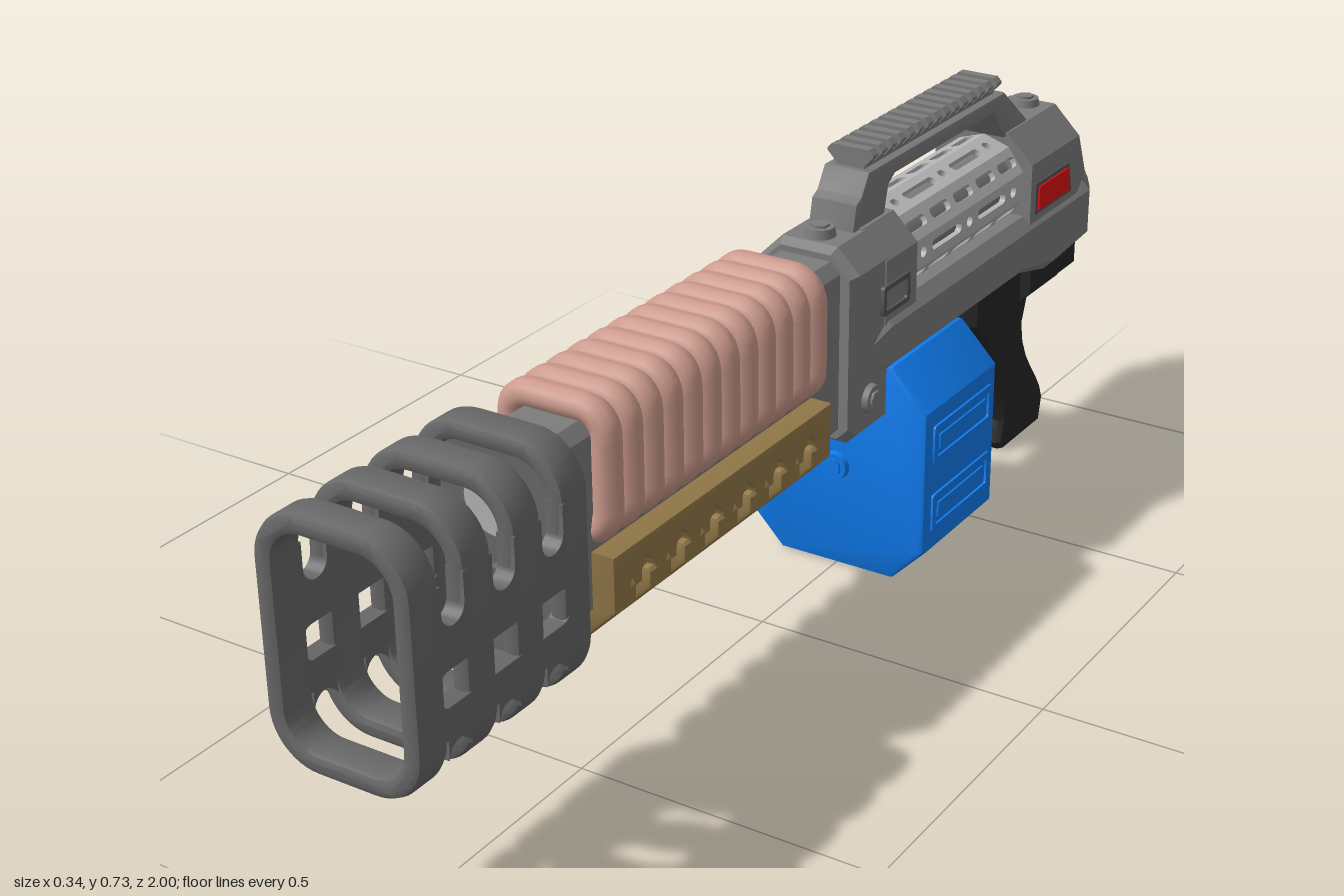
import * as THREE from 'three';
import { toCreasedNormals } from 'three/addons/utils/BufferGeometryUtils.js';

const mat = (color) => new THREE.MeshStandardMaterial({ color });
const M = {
  muzzle: mat(0x686868), body: mat(0x7c7c7c), light: mat(0xb4b4b4), dark: mat(0x555555),
  black: mat(0x262626), blue: mat(0x0f7cf0), coil: mat(0xcc9a8c), tan: mat(0x957b4a), red: mat(0xe01010),
};

const poly = (pts) => new THREE.Shape(pts.map(([a, b]) => new THREE.Vector2(a, b)));

// Rounded rectangle centred on (cx, cy)
function rounded(cx, cy, w, h, r) {
  const s = new THREE.Shape(), q = Math.PI / 2;
  const x = w / 2 - r, y = h / 2 - r;
  [[x, y], [-x, y], [-x, -y], [x, -y]].forEach(([a, b], i) =>
    s.absarc(cx + a, cy + b, r, i * q, (i + 1) * q, false));
  s.closePath();
  return s;
}

const chamfered = (hw, y0, y1, cb, ct) => poly([
  [-hw + cb, y0], [hw - cb, y0], [hw, y0 + cb], [hw, y1 - ct],
  [hw - ct, y1], [-hw + ct, y1], [-hw, y1 - ct], [-hw, y0 + cb]]);

// Extrude an (x, y) shape from z0 to z1
function alongZ(shape, z0, z1, bevel = 0) {
  const g = new THREE.ExtrudeGeometry(shape, {
    depth: z1 - z0 - 2 * bevel, curveSegments: 6, bevelEnabled: bevel > 0,
    bevelSize: bevel, bevelThickness: bevel, bevelOffset: -bevel, bevelSegments: 2 });
  g.translate(0, 0, z0 + bevel);
  return toCreasedNormals(g, 0.5);
}

// Extrude a (z, y) side shape from x0 to x1
function alongX(shape, x0, x1, bevel = 0) {
  return alongZ(shape, -x1, -x0, bevel).rotateY(-Math.PI / 2);
}

// Loft chamfered sections [z, halfWidth, y0, y1, bottomChamfer, topChamfer], front to back
function loft(sections) {
  const pos = [], idx = [], n = 8, last = (sections.length - 1) * n;
  sections.forEach(([z, ...s]) => chamfered(...s).getPoints().slice(0, n).forEach((p) => pos.push(p.x, p.y, z)));
  for (let s = 0; s < sections.length - 1; s++) for (let i = 0; i < n; i++) {
    const a = s * n + i, b = s * n + (i + 1) % n;
    idx.push(a, a + n, b, b, a + n, b + n);
  }
  for (let i = 1; i < n - 1; i++) idx.push(0, i, i + 1, last, last + i + 1, last + i);
  const g = new THREE.BufferGeometry();
  g.setAttribute('position', new THREE.Float32BufferAttribute(pos, 3));
  g.setIndex(idx);
  const flat = g.toNonIndexed();
  flat.computeVertexNormals();
  return flat;
}

export function createModel() {
  const root = new THREE.Group();
  const add = (name, geo, material, parent = root) => {
    const m = new THREE.Mesh(geo, material);
    m.name = name;
    parent.add(m);
    return m;
  };
  const group = (name) => { const g = new THREE.Group(); g.name = name; root.add(g); return g; };

  // Hex bolt whose head faces along dir
  const bolt = (name, p, dir, material, r = 0.026) => {
    const g = group(name);
    add('boltCollar', new THREE.CylinderGeometry(r * 0.88, r, 0.016, 20), material, g);
    add('boltHead', new THREE.CylinderGeometry(r * 0.58, r * 0.62, 0.024, 6), material, g);
    g.position.set(...p);
    g.quaternion.setFromUnitVectors(new THREE.Vector3(0, 1, 0), new THREE.Vector3(...dir));
  };

  // Slotted muzzle cage: four hoops joined by notched side plates
  const muzzle = group('muzzleCage');
  for (let i = 0; i < 4; i++) {
    const hoop = rounded(0, 0.4385, 0.25, 0.375, 0.078);
    hoop.holes.push(rounded(0, 0.4385, 0.19, 0.315, 0.05));
    const z = 0.63 + i * 0.1037;
    add('muzzleHoop', alongZ(hoop, z, z + 0.059, 0.01), M.muzzle, muzzle);
  }
  const side = new THREE.Shape();
  side.moveTo(0.64, 0.33);
  for (let i = 0; i < 3; i++) {
    const c = 0.711 + i * 0.1037;
    side.lineTo(c - 0.023, 0.33);
    side.absarc(c, 0.3, 0.0235, Math.PI * 0.98, 0.02, true);
    side.lineTo(c + 0.023, 0.33);
  }
  side.lineTo(0.99, 0.33).lineTo(0.99, 0.55);
  for (let i = 2; i >= 0; i--) {
    const c = 0.711 + i * 0.1037;
    side.lineTo(c + 0.023, 0.55).lineTo(c + 0.023, 0.51);
    side.absarc(c, 0.51, 0.023, 0, -Math.PI, true);
    side.lineTo(c - 0.023, 0.55);
  }
  side.lineTo(0.64, 0.55);
  side.holes.push(rounded(0.815, 0.402, 0.27, 0.052, 0.015));
  for (const s of [-1, 1]) add('muzzleSidePlate', alongX(side, s * 0.11 - 0.014, s * 0.11 + 0.014), M.muzzle, muzzle);
  add('muzzleBackWall', alongZ(rounded(0, 0.4385, 0.2, 0.325, 0.055), 0.635, 0.665), M.muzzle, muzzle);
  add('barrelFace', new THREE.CylinderGeometry(0.052, 0.052, 0.01, 32).rotateX(Math.PI / 2).translate(0, 0.512, 0.665), M.light, muzzle);
  bolt('muzzleBolt', [0, 0.393, 0.668], [0, 0, 1], M.muzzle);

  // Barrel core and its coil windings
  add('barrelCore', alongZ(chamfered(0.063, 0.29, 0.59, 0.018, 0.018), -0.15, 0.64), M.body);
  const coils = group('coils');
  const ring = new THREE.CurvePath();
  const ringPts = rounded(0, 0.5125, 0.156, 0.181, 0.035).getPoints(6).slice(0, -1)
    .map((p) => new THREE.Vector3(p.x, p.y, 0));
  ringPts.forEach((p, i) => ring.add(new THREE.LineCurve3(p, ringPts[(i + 1) % ringPts.length])));
  const coilGeo = new THREE.TubeGeometry(new THREE.CatmullRomCurve3(ring.getSpacedPoints(48).slice(0, -1), true), 72, 0.0225, 10, true);
  for (let i = 0; i < 12; i++) add('coil', coilGeo, M.coil, coils).position.z = -0.018 + i * 0.0491;

  // Fore grip: inner trough, arched side panel and ribs
  const fore = group('foreGrip');
  add('foreGripCore', alongZ(chamfered(0.085, 0.268, 0.392, 0.05, 0.005), -0.035, 0.54), M.tan, fore);
  const arch = new THREE.Shape();
  arch.moveTo(-0.04, 0.31);
  for (let i = 0; i < 6; i++) {
    const c = 0.0325 + i * 0.088;
    arch.lineTo(c - 0.03, 0.31).lineTo(c - 0.03, 0.335);
    arch.absarc(c, 0.335, 0.03, Math.PI, 0, true);
    arch.lineTo(c + 0.03, 0.31);
  }
  arch.lineTo(0.545, 0.31).lineTo(0.545, 0.397).lineTo(-0.04, 0.397);
  add('foreGripPanel', alongX(arch, -0.1, 0.1, 0.004), M.tan, fore);
  for (let i = 0; i < 7; i++) {
    const z = -0.0115 + i * 0.088;
    add('foreGripRib', alongZ(chamfered(0.1, 0.253, 0.34, 0.055, 0.005), z - 0.0285, z + 0.0285, 0.008), M.tan, fore);
  }

  // Receiver body
  const receiver = group('receiver');
  add('receiverLower', loft([
    [-0.15, 0.082, 0.385, 0.44, 0.01, 0.02], [-0.23, 0.1, 0.38, 0.475, 0.01, 0.02],
    [-0.7, 0.1, 0.38, 0.475, 0.01, 0.02], [-0.82, 0.1, 0.345, 0.475, 0.02, 0.02],
    [-0.955, 0.1, 0.345, 0.475, 0.03, 0.02], [-0.975, 0.085, 0.35, 0.465, 0.03, 0.02]]), M.body, receiver);
  add('receiverFront', loft([
    [-0.125, 0.08, 0.29, 0.6, 0.02, 0.035], [-0.14, 0.09, 0.28, 0.61, 0.02, 0.04],
    [-0.23, 0.09, 0.28, 0.61, 0.02, 0.04]]), M.body, receiver);
  add('receiverUpper', loft([
    [-0.22, 0.092, 0.43, 0.612, 0.01, 0.045], [-0.32, 0.092, 0.43, 0.612, 0.01, 0.045]]), M.body, receiver);
  add('receiverRear', loft([
    [-0.725, 0.094, 0.42, 0.62, 0.01, 0.05], [-0.91, 0.094, 0.42, 0.62, 0.01, 0.05],
    [-0.972, 0.08, 0.42, 0.515, 0.01, 0.03]]), M.body, receiver);
  add('buttDisc', new THREE.CylinderGeometry(0.08, 0.084, 0.035, 32).rotateX(-Math.PI / 2).translate(0, 0.43, -0.9825), M.body, receiver);

  // Vented inner shroud made of slotted facets
  const shroud = group('ventedShroud');
  const N = 10, R = 0.077;
  const w = 2 * R * Math.tan(Math.PI / N);
  for (let i = 0; i < N; i++) {
    const plate = poly([[-0.73, -w / 2], [-0.315, -w / 2], [-0.315, w / 2], [-0.73, w / 2]]);
    for (let k = 0; k < 5; k++) {
      const c = -0.37 - k * 0.08;
      if (i % 2) plate.holes.push(rounded(c, 0, 0.062, 0.018, 0.008));
      else if (k % 2) plate.holes.push(rounded(c, 0, 0.1, 0.018, 0.008));
      else plate.holes.push(rounded(c, 0, 0.02, 0.02, 0.0099));
    }
    const p = add('shroudFacet', alongX(plate, R - 0.01, R), M.light, shroud);
    p.rotation.z = (i / N) * Math.PI * 2;
  }
  add('shroudCore', new THREE.CylinderGeometry(0.055, 0.055, 0.42, 20).rotateX(Math.PI / 2).translate(0, 0, -0.52), M.body, shroud);
  shroud.position.y = 0.53;

  // Carry handle and toothed top rail
  add('carryHandle', alongX(poly([
    [-0.2, 0.6], [-0.212, 0.652], [-0.228, 0.66], [-0.25, 0.695], [-0.715, 0.695], [-0.825, 0.605],
    [-0.73, 0.605], [-0.675, 0.668], [-0.335, 0.668], [-0.315, 0.655], [-0.3, 0.6]]), -0.041, 0.041, 0.004), M.body);
  const rail = group('topRail');
  add('railBase', new THREE.BoxGeometry(0.052, 0.018, 0.44).translate(0, 0.7, -0.48), M.body, rail);
  const tooth = poly([[-0.027, 0.7], [0.027, 0.7], [0.041, 0.715], [0.041, 0.719], [0.033, 0.727], [-0.033, 0.727], [-0.041, 0.719], [-0.041, 0.715]]);
  for (let i = 0; i < 15; i++) add('railTooth', alongZ(tooth, -0.7 + i * 0.0302, -0.683 + i * 0.0302), M.body, rail);

  // Side details, mirrored
  for (const s of [-1, 1]) {
    const at = (shape, x, d) => alongX(shape, s * x - d, s * x + d);
    const frame = rounded(-0.248, 0.503, 0.085, 0.05, 0.006);
    frame.holes.push(rounded(-0.248, 0.503, 0.068, 0.034, 0.004));
    add('sidePortFrame', at(frame, 0.093, 0.004), M.dark);
    add('indicatorFrame', at(poly([[-0.74, 0.475], [-0.885, 0.475], [-0.87, 0.532], [-0.74, 0.532]]), 0.093, 0.003), M.dark);
    add('indicator', at(poly([[-0.75, 0.482], [-0.875, 0.482], [-0.862, 0.525], [-0.75, 0.525]]), 0.094, 0.005), M.red);
    bolt('sideBolt', [s * 0.092, 0.35, -0.175], [s, 0, 0], M.body);
  }
  bolt('frontTopBolt', [0, 0.617, -0.17], [0, 1, 0], M.body);
  bolt('rearTopBolt', [0, 0.625, -0.88], [0, 1, 0], M.body);

  // Box magazine with framed side panels
  const mag = group('magazine');
  add('magazineBox', alongZ(poly([
    [-0.105, 0], [0.105, 0], [0.166, 0.063], [0.166, 0.315], [0.1, 0.383], [-0.1, 0.383], [-0.166, 0.315], [-0.166, 0.063]]),
    -0.475, -0.23, 0.01), M.blue, mag);
  for (const s of [-1, 1]) for (const y of [0.128, 0.252]) {
    const f = rounded(-0.3525, y, 0.2, 0.068, 0.006);
    f.holes.push(rounded(-0.3525, y, 0.178, 0.046, 0.004));
    add('magazineFrame', alongX(f, s * 0.166 - 0.004, s * 0.166 + 0.004), M.blue, mag);
    add('magazinePanel', new THREE.BoxGeometry(0.006, 0.026, 0.158).translate(s * 0.166, y, -0.3525), M.blue, mag);
  }
  bolt('magazineFrontBolt', [0, 0.185, -0.228], [0, 0, 1], M.blue);
  bolt('magazineRearBolt', [0, 0.185, -0.477], [0, 0, -1], M.blue);

  // Pistol grip, trigger and guard
  const grip = new THREE.Shape();
  grip.moveTo(-0.63, 0.385);
  grip.lineTo(-0.63, 0.29).lineTo(-0.66, 0.262);
  grip.bezierCurveTo(-0.7, 0.2, -0.75, 0.12, -0.755, 0.06);
  grip.lineTo(-0.742, 0.02).lineTo(-0.755, 0.003).lineTo(-0.905, 0.003).lineTo(-0.915, 0.05);
  grip.bezierCurveTo(-0.9, 0.11, -0.82, 0.15, -0.815, 0.235);
  grip.lineTo(-0.83, 0.275).lineTo(-0.955, 0.275).lineTo(-0.972, 0.3).lineTo(-0.972, 0.345).lineTo(-0.82, 0.35).lineTo(-0.7, 0.385);
  add('pistolGrip', alongX(grip, -0.05, 0.05, 0.014), M.black);
  add('gripCap', loft([[-0.79, 0.07, 0.28, 0.35, 0.025, 0.005], [-0.97, 0.07, 0.28, 0.35, 0.025, 0.005]]), M.black);
  add('triggerGuard', alongX(poly([
    [-0.475, 0.385], [-0.475, 0.325], [-0.52, 0.308], [-0.65, 0.27], [-0.65, 0.285], [-0.53, 0.32], [-0.52, 0.385]]),
    -0.03, 0.03, 0.003), M.black);
  add('trigger', new THREE.TubeGeometry(new THREE.QuadraticBezierCurve3(
    new THREE.Vector3(0, 0.39, -0.6), new THREE.Vector3(0, 0.35, -0.615), new THREE.Vector3(0, 0.325, -0.585)), 8, 0.009, 8), M.black);

  return root;
}
